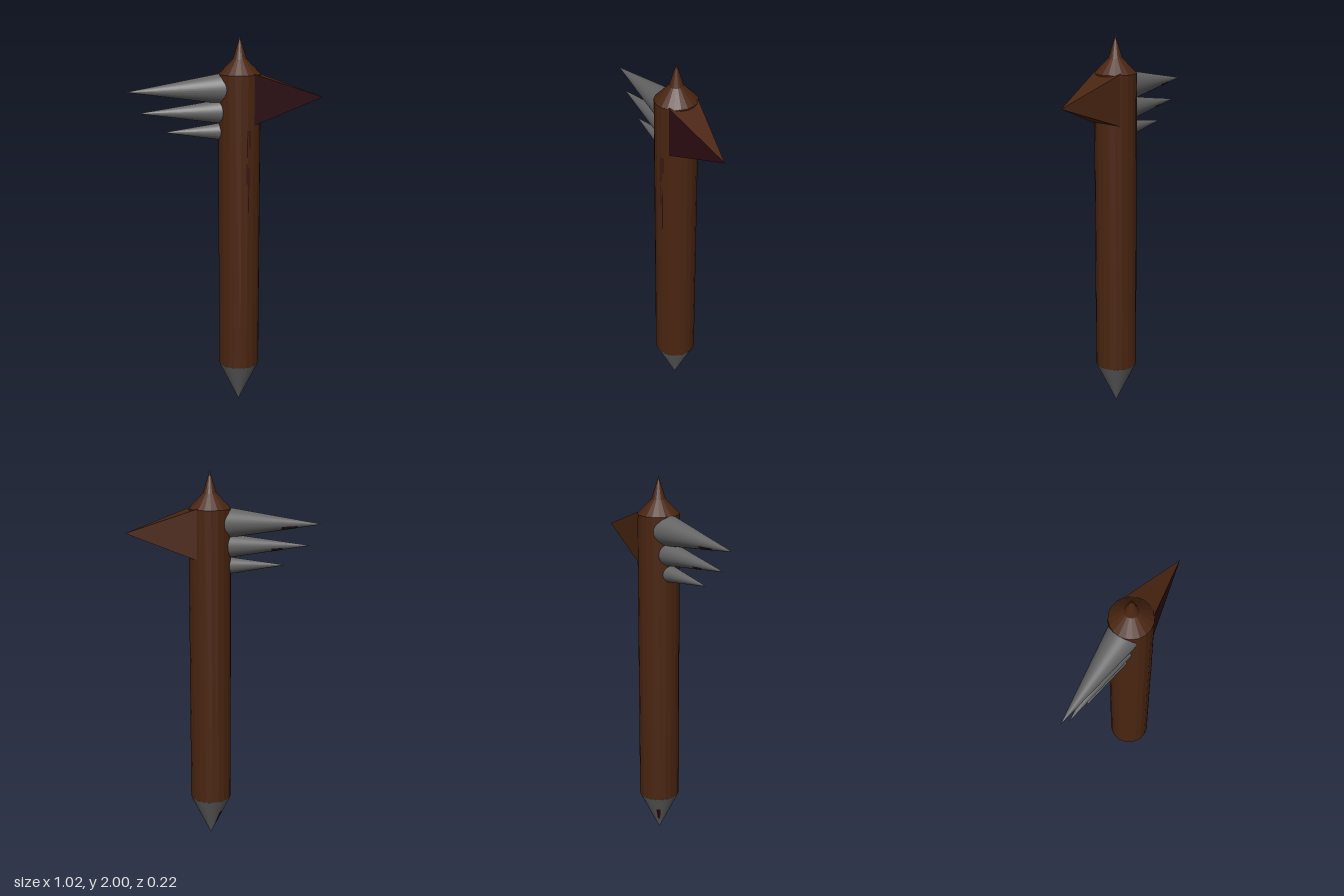
import * as THREE from 'three';

export function createModel() {
  const root = new THREE.Group();
  root.name = 'spikedWarClub';
  const mat = (name, color, flatShading = false) =>
    new THREE.MeshStandardMaterial({ name, color, flatShading });
  const wood = mat('dark wood', 0x4a2511, true);
  const metal = mat('grey metal', 0x646464);
  const stain = mat('dried maroon stain', 0x2c0c12);
  stain.side = THREE.DoubleSide;

  const add = (parent, name, geometry, material) => {
    const mesh = new THREE.Mesh(geometry, material);
    mesh.name = name;
    parent.add(mesh);
    return mesh;
  };

  const R = 0.109, SIDES = 20;
  const club = new THREE.Group();
  club.name = 'club';
  club.position.x = 0.076;
  root.add(club);

  // Shaft with sloped shoulder and a slim finial
  const profile = [[0, 0.225], [R, 0.225], [R, 1.81], [0.036, 1.885], [0, 2]]
    .map(([r, y]) => new THREE.Vector2(r, y));
  add(club, 'shaft', new THREE.LatheGeometry(profile, SIDES), wood);

  // Metal ground point
  const point = add(club, 'groundPoint', new THREE.ConeGeometry(R, 0.225, 32), metal);
  point.rotation.x = Math.PI;
  point.position.y = 0.1125;

  // Thin curved patch lying on a cone or cylinder around the y axis
  const patch = (parent, name, rTop, rBottom, y0, y1, angle, spread) => {
    const g = new THREE.CylinderGeometry(rTop + 0.001, rBottom + 0.001, y1 - y0, 4, 1, true,
      angle - spread / 2, spread);
    add(parent, name, g, stain).position.y = (y0 + y1) / 2;
  };
  patch(club, 'pointStain', R * 0.65, R * 0.3, 0.068, 0.146, Math.PI * 1.27, 0.35);
  for (const [y0, y1, a] of [[1.39, 1.53, 0.3], [1.44, 1.53, 0.42], [1.25, 1.36, 0.28], [1.1, 1.34, 0.37]])
    patch(club, 'shaftStreak', R, R, y0, y1, a, 0.05);

  // Three claws: [tip x, tip y, base y, base radius, stain start, stain end]
  const baseX = 0.05;
  const claws = [
    [-0.51, 1.72, 1.737, 0.089, 0.61, 0.76],
    [-0.45, 1.61, 1.617, 0.072, 0.58, 0.7],
    [-0.32, 1.51, 1.513, 0.055, 0, 0],
  ];
  for (const [tx, ty, by, r, s0, s1] of claws) {
    const length = Math.hypot(baseX - tx, by - ty);
    const claw = new THREE.Group();
    claw.name = 'claw';
    claw.position.set(baseX, by, -0.002);
    claw.rotation.z = Math.PI / 2 + Math.atan2(by - ty, baseX - tx);
    const cone = new THREE.ConeGeometry(r, length, 32);
    add(claw, 'clawSpike', cone.translate(0, length / 2, 0), metal);
    if (s1 > 0)
      patch(claw, 'clawStain', r * (1 - s1), r * (1 - s0), length * s0, length * s1, Math.PI * 1.25, 0.8);
    root.add(claw);
  }

  // Four-sided beak opposite the claws, with a stained front face
  const bx = 0.142, tip = [0.51, 1.685, 0];
  const corners = [[bx, 1.817, 0.083], [bx, 1.817, -0.083], [bx, 1.552, -0.083], [bx, 1.552, 0.083]];
  const face = (list) => {
    const g = new THREE.BufferGeometry();
    g.setAttribute('position', new THREE.Float32BufferAttribute(list.flat(2), 3));
    g.computeVertexNormals();
    return g;
  };
  const sides = corners.map((c, i) => [c, tip, corners[(i + 1) % 4]]);
  add(root, 'beak', face(sides.slice(0, 3)), wood);
  add(root, 'beakFrontFace', face(sides.slice(3)), stain);

  return root;
}
